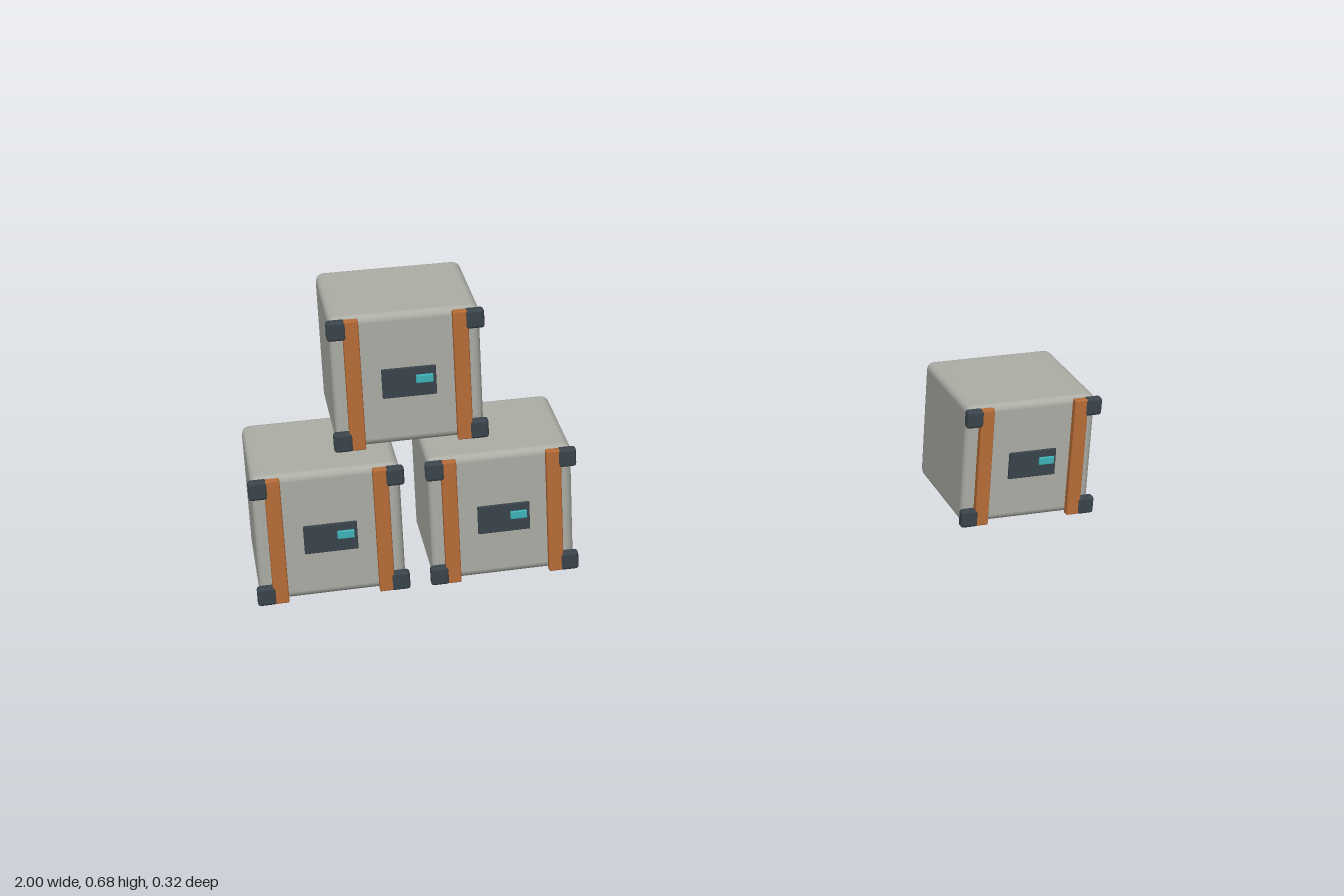
import * as THREE from 'three';
import { RoundedBoxGeometry } from 'three/addons/geometries/RoundedBoxGeometry.js';

const material = (name, color) => {
  const m = new THREE.MeshStandardMaterial({ color });
  m.name = name;
  return m;
};

export function createModel() {
  const grey = material('shellGrey', 0xacada5);
  const orange = material('strapOrange', 0xb86d38);
  const dark = material('bracketSlate', 0x3a444b);
  const teal = material('displayTeal', 0x3fb5ba);

  // Shared geometries, all in crate-local coordinates
  const shellGeo = new RoundedBoxGeometry(0.326, 0.308, 0.291, 2, 0.018);
  const strapGeo = new RoundedBoxGeometry(0.034, 0.304, 0.018, 1, 0.003);
  const bracketGeo = new RoundedBoxGeometry(0.042, 0.044, 0.023, 2, 0.007);
  const panelGeo = new RoundedBoxGeometry(0.118, 0.068, 0.007, 1, 0.002);
  const displayGeo = new RoundedBoxGeometry(0.038, 0.019, 0.007, 1, 0.002);

  function add(parent, name, geo, mat, x, y, z) {
    const mesh = new THREE.Mesh(geo, mat);
    mesh.name = name;
    mesh.position.set(x, y, z);
    parent.add(mesh);
  }

  function createCrate(name, x, y) {
    const crate = new THREE.Group();
    crate.name = name;
    crate.position.set(x, y, 0);
    add(crate, 'shell', shellGeo, grey, 0, 0, -0.0145);

    // Vertical straps and corner brackets, mirrored
    for (const sx of [-1, 1]) {
      const side = sx > 0 ? 'left' : 'right';
      add(crate, side + 'Strap', strapGeo, orange, sx * 0.118, 0, 0.141);
      for (const sy of [-1, 1]) {
        const level = sy > 0 ? 'Upper' : 'Lower';
        add(crate, side + level + 'Bracket', bracketGeo, dark, sx * 0.149, sy * 0.131, 0.1405);
      }
    }

    // Raised front panel with a small display
    add(crate, 'controlPanel', panelGeo, dark, 0, 0.001, 0.1515);
    add(crate, 'display', displayGeo, teal, 0.033, 0.009, 0.1595);
    return crate;
  }

  const model = new THREE.Group();
  model.name = 'crateStack';
  model.add(
    createCrate('lowerRightCrate', -0.83, 0.172),
    createCrate('lowerMiddleCrate', -0.443, 0.172),
    createCrate('topCrate', -0.638, 0.528),
    createCrate('separateCrate', 0.83, 0.155),
  );
  return model;
}
